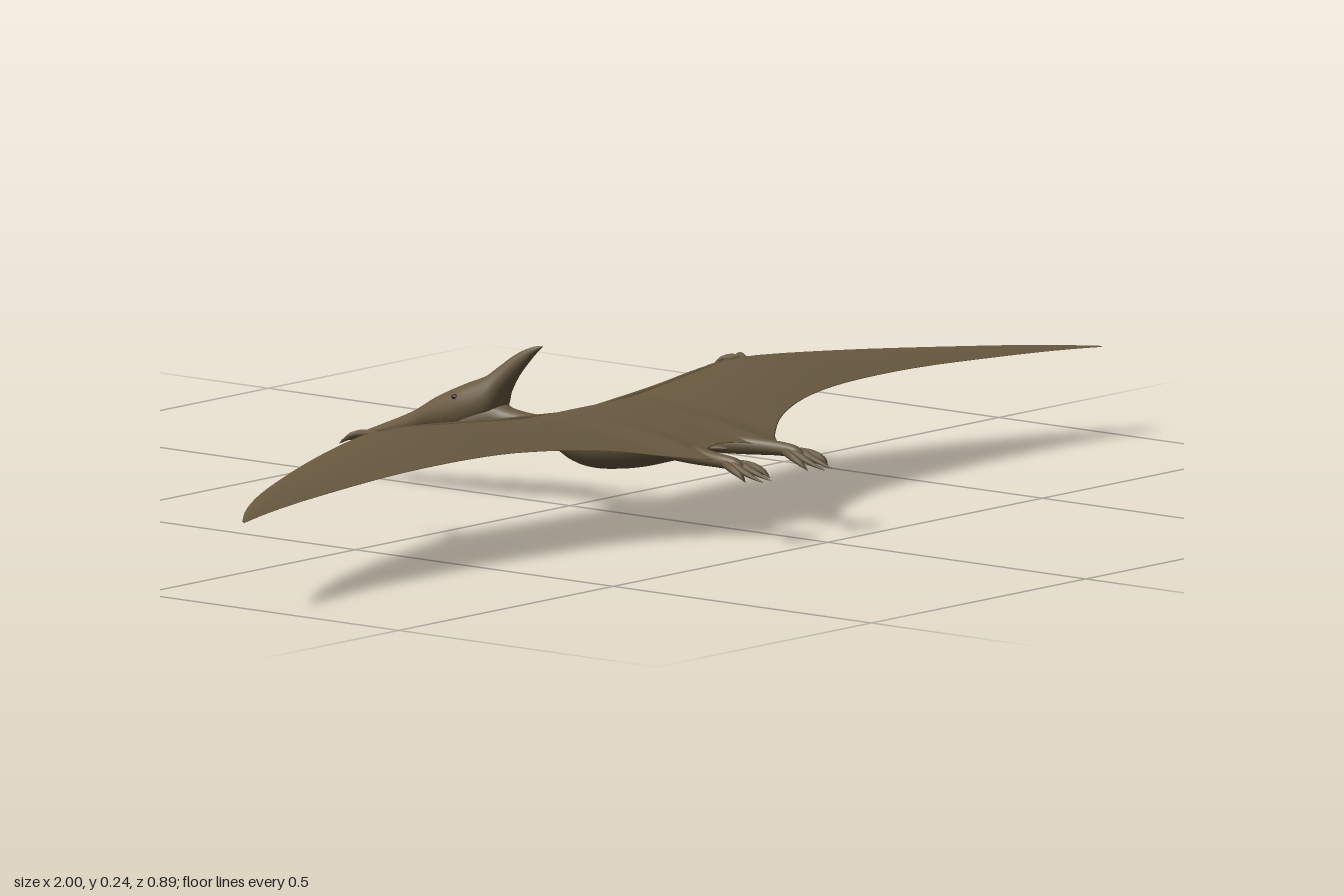
import * as THREE from 'three';

// Smoothly resample a table of cross-section rows
function resample(rows, perGap) {
  const n = (rows.length - 1) * perGap;
  const curves = rows[0].map((_, c) => new THREE.SplineCurve(rows.map((r, i) => new THREE.Vector2(i, r[c]))));
  return Array.from({ length: n + 1 }, (_, i) => curves.map((c) => c.getPoint(i / n).y));
}

// Skin a list of closed rings with a smooth surface
function skin(rings) {
  const m = rings[0].length, index = [];
  for (let i = 0; i < rings.length - 1; i++) {
    for (let j = 0; j < m; j++) {
      const a = i * m + j, b = i * m + (j + 1) % m;
      index.push(a, a + m, b, b, a + m, b + m);
    }
  }
  const geo = new THREE.BufferGeometry();
  geo.setAttribute('position', new THREE.Float32BufferAttribute(rings.flat(2), 3));
  geo.setIndex(index);
  geo.computeVertexNormals();
  return geo;
}

// Rows are [zTop, yTop, zBottom, yBottom, halfWidth, xCentre], running towards +z
function loft(rows, perGap = 5, sides = 20) {
  return skin(resample(rows, perGap).map(([zt, yt, zb, yb, w, x]) =>
    Array.from({ length: sides }, (_, j) => {
      const a = (j / sides) * Math.PI * 2, k = (1 + Math.cos(a)) / 2;
      return [x + Math.sin(a) * Math.max(w, 0.0003), yb + (yt - yb) * k, zb + (zt - zb) * k];
    })));
}

// Tapered limb from points [x, y, z, radius]
const limb = (pts, sides = 10) =>
  loft(pts.map(([x, y, z, r]) => [z, y + r, z, y - r, r, x]), 4, sides);

// Wing half span rows: [x, zLead, zTrail, yLead, yTrail, thickness]
const WING = [
  [0, 0, 0.29, 0.145, 0.128, 0.022],
  [0.04, 0, 0.3, 0.145, 0.125, 0.022],
  [0.075, 0, 0.345, 0.146, 0.12, 0.02],
  [0.1, -0.002, 0.318, 0.147, 0.122, 0.016],
  [0.13, -0.004, 0.29, 0.148, 0.126, 0.013],
  [0.2, -0.01, 0.245, 0.153, 0.138, 0.011],
  [0.3, -0.02, 0.205, 0.16, 0.147, 0.011],
  [0.42, -0.032, 0.184, 0.165, 0.152, 0.011],
  [0.6, 0.01, 0.17, 0.157, 0.149, 0.008],
  [0.8, 0.08, 0.172, 0.144, 0.14, 0.006],
  [0.92, 0.14, 0.185, 0.137, 0.135, 0.004],
  [1, 0.196, 0.2, 0.132, 0.131, 0.001],
];

function wingGeometry() {
  const half = resample(WING, 4);
  const span = [...half.slice(1).reverse().map(([x, ...r]) => [-x, ...r]), ...half];
  const sides = 32;
  return skin(span.map(([x, zl, zt, yl, yt, t]) =>
    Array.from({ length: sides }, (_, j) => {
      const a = (j / sides) * Math.PI * 2, v = (1 + Math.cos(a)) / 2;
      const arch = Math.sin(Math.PI * v) * 0.03 * (zt - zl);
      return [x, yl + (yt - yl) * v + arch + Math.sin(a) * t * (0.6 - 0.45 * v), zl + (zt - zl) * v];
    })));
}

export function createModel() {
  const model = new THREE.Group();
  model.name = 'flyingReptile';
  const hide = new THREE.MeshStandardMaterial({ color: 0x695a40 });
  hide.name = 'brown hide';
  const dark = new THREE.MeshStandardMaterial({ color: 0x2e261a });
  dark.name = 'dark eye';
  const add = (name, geo, mat = hide) => {
    const mesh = new THREE.Mesh(geo, mat);
    mesh.name = name;
    model.add(mesh);
    return mesh;
  };

  // Lower jaw, throat, neck and body in one flowing form
  add('jawNeckAndBody', loft([
    [-0.42, 0.004, -0.42, 0.002, 0.0005, 0],
    [-0.35, 0.04, -0.35, 0.026, 0.01, 0],
    [-0.28, 0.073, -0.28, 0.047, 0.022, 0],
    [-0.23, 0.1, -0.23, 0.062, 0.029, 0],
    [-0.19, 0.135, -0.19, 0.067, 0.033, 0],
    [-0.15, 0.15, -0.15, 0.083, 0.029, 0],
    [-0.115, 0.137, -0.115, 0.103, 0.02, 0],
    [-0.06, 0.133, -0.06, 0.099, 0.018, 0],
    [-0.01, 0.143, -0.01, 0.083, 0.032, 0],
    [0.03, 0.15, 0.03, 0.069, 0.047, 0],
    [0.08, 0.153, 0.08, 0.067, 0.055, 0],
    [0.14, 0.15, 0.14, 0.076, 0.053, 0],
    [0.2, 0.143, 0.2, 0.092, 0.043, 0],
    [0.26, 0.134, 0.26, 0.109, 0.026, 0],
    [0.305, 0.123, 0.305, 0.121, 0.002, 0],
  ]));

  // Upper beak, skull and swept-back crest
  add('beakSkullAndCrest', loft([
    [-0.443, 0.053, -0.443, 0.051, 0.0005, 0],
    [-0.37, 0.083, -0.37, 0.064, 0.012, 0],
    [-0.3, 0.113, -0.3, 0.077, 0.022, 0],
    [-0.25, 0.142, -0.26, 0.084, 0.029, 0],
    [-0.2, 0.165, -0.2, 0.09, 0.035, 0],
    [-0.16, 0.181, -0.14, 0.115, 0.03, 0],
    [-0.135, 0.198, -0.12, 0.155, 0.019, 0],
    [-0.105, 0.219, -0.1, 0.186, 0.011, 0],
    [-0.075, 0.233, -0.073, 0.217, 0.006, 0],
    [-0.053, 0.238, -0.053, 0.236, 0.0005, 0],
  ]));

  add('wings', wingGeometry());

  for (const s of [1, -1]) {
    const side = s > 0 ? 'left' : 'right';

    // Eye
    const eye = add(side + 'Eye', new THREE.SphereGeometry(0.006, 12, 8), dark);
    eye.position.set(s * 0.027, 0.148, -0.2);
    eye.scale.set(0.8, 0.7, 1.1);

    // Arm bone raised along the front of the wing
    const arm = new THREE.CatmullRomCurve3([
      [0.03, 0.143, 0.015], [0.2, 0.152, 0.002], [0.3, 0.159, -0.009], [0.42, 0.164, -0.024],
    ].map(([x, y, z]) => new THREE.Vector3(s * x, y, z)));
    add(side + 'Arm', new THREE.TubeGeometry(arm, 20, 0.007, 10));

    // Clawed fingers on the wing wrist
    [[0.405, -0.064], [0.43, -0.08], [0.453, -0.07]].forEach(([x, z], i) => {
      const mid = 0.43 + (x - 0.43) * 0.8;
      add(side + 'Finger' + (i + 1), limb([
        [s * x, 0.149, z, 0.0005],
        [s * (x + mid) / 2, 0.159, z * 0.8, 0.0045],
        [s * mid, 0.165, -0.042, 0.005],
        [s * 0.428, 0.164, -0.015, 0.005],
      ]));
    });

    // Leg
    add(side + 'Leg', limb([
      [s * 0.035, 0.115, 0.2, 0.012],
      [s * 0.055, 0.118, 0.28, 0.014],
      [s * 0.069, 0.118, 0.345, 0.011],
      [s * 0.07, 0.116, 0.38, 0.009],
      [s * 0.07, 0.113, 0.395, 0.002],
    ], 14));

    // Splayed toes
    [[-0.026, 0.425], [-0.008, 0.443], [0.01, 0.442], [0.026, 0.42]].forEach(([dx, z], i) => {
      add(side + 'Toe' + (i + 1), limb([
        [s * 0.07, 0.116, 0.355, 0.006],
        [s * (0.07 + dx * 0.8), 0.113, 0.388, 0.006],
        [s * (0.07 + dx), 0.105, 0.412, 0.0045],
        [s * (0.07 + dx), 0.096, z, 0.0005],
      ]));
    });
  }
  return model;
}
